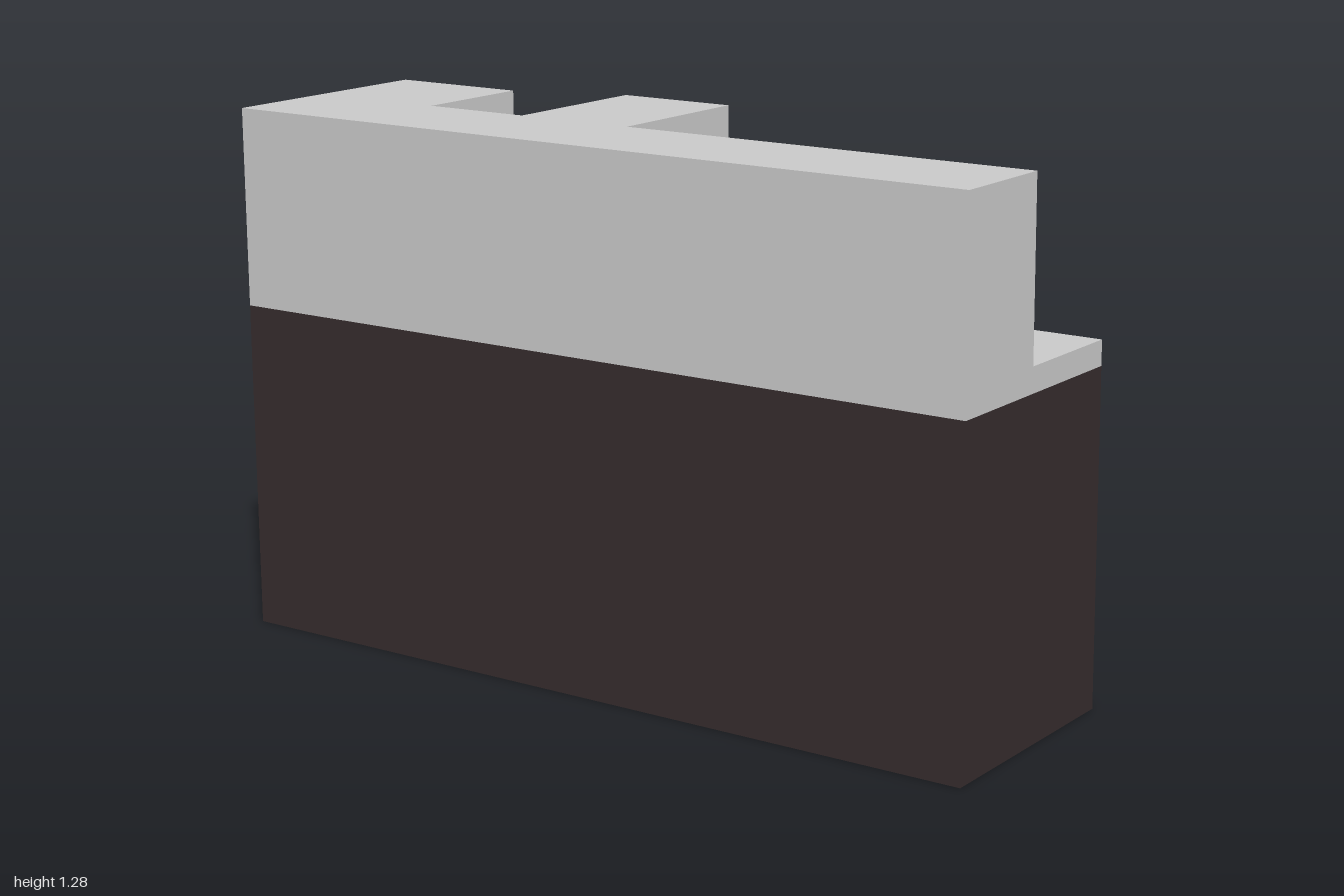
import * as THREE from 'three';

export function createModel() {
  const desk = new THREE.Group();
  desk.name = 'receptionDesk';

  const grey = new THREE.MeshStandardMaterial({ color: 0xc8c8c8 });
  grey.name = 'light grey';
  const brown = new THREE.MeshStandardMaterial({ color: 0x352b2c });
  brown.name = 'dark brown';

  // Outer limits, wall thickness and levels
  const X = 1, Z = 0.76, T = 0.03;
  const backZ = 0.17;    // rear edge of the main counter
  const ledgeZ = 0.48;   // rear edge of the front ledge
  const ledgeX = -0.65;  // inner edge of the wing ledge
  const wingX = -0.52;   // inner edge of the wing worktop
  const baseY = 0.8, workY = 0.86, lowY = 1.13, highY = 1.28;

  // Box given by its limits on each axis
  function box(name, material, x0, x1, y0, y1, z0, z1) {
    const mesh = new THREE.Mesh(new THREE.BoxGeometry(x1 - x0, y1 - y0, z1 - z0), material);
    mesh.position.set((x0 + x1) / 2, (y0 + y1) / 2, (z0 + z1) / 2);
    mesh.name = name;
    desk.add(mesh);
  }

  // L-shaped slab: front run back to zIn, wing back to zEnd and in to xIn
  function slab(name, y0, y1, xIn, zIn, zEnd) {
    const outline = [[-X, -Z], [X, -Z], [X, -zIn], [xIn, -zIn], [xIn, -zEnd], [-X, -zEnd]];
    const shape = new THREE.Shape(outline.map(([x, y]) => new THREE.Vector2(x, y)));
    const geometry = new THREE.ExtrudeGeometry(shape, { depth: y1 - y0, bevelEnabled: false });
    geometry.rotateX(-Math.PI / 2);
    const mesh = new THREE.Mesh(geometry, grey);
    mesh.position.y = y0;
    mesh.name = name;
    desk.add(mesh);
  }

  // Dark base: deep front block and two thin side panels
  box('frontBase', brown, -X, X, 0, baseY, ledgeZ, Z);
  box('leftBasePanel', brown, X - T, X, 0, baseY, backZ, ledgeZ);
  box('rightBasePanel', brown, -X, -X + T, 0, baseY, -Z, ledgeZ);

  // Worktop and the raised counter top
  slab('worktop', baseY, workY, wingX, backZ, -Z);
  slab('counterTop', highY - T, highY, ledgeX, ledgeZ, backZ);

  // Walls under the raised counter, open towards the inside
  box('frontWall', grey, -X, X, workY, highY - T, Z - T, Z);
  box('leftEndWall', grey, X - T, X, workY, highY - T, ledgeZ, Z - T);
  box('rightHighWall', grey, -X, -X + T, workY, highY - T, backZ, Z - T);
  box('stepWall', grey, -X + T, ledgeX, workY, highY - T, backZ, backZ + 0.035);

  // Lower ledge along the wing
  box('wingTop', grey, -X, ledgeX, lowY - T, lowY, -Z, backZ);
  box('rightLowWall', grey, -X, -X + T, workY, lowY - T, -Z, backZ);
  box('wingEndWall', grey, -X + T, ledgeX, workY, lowY - T, -Z, -Z + T);

  return desk;
}
